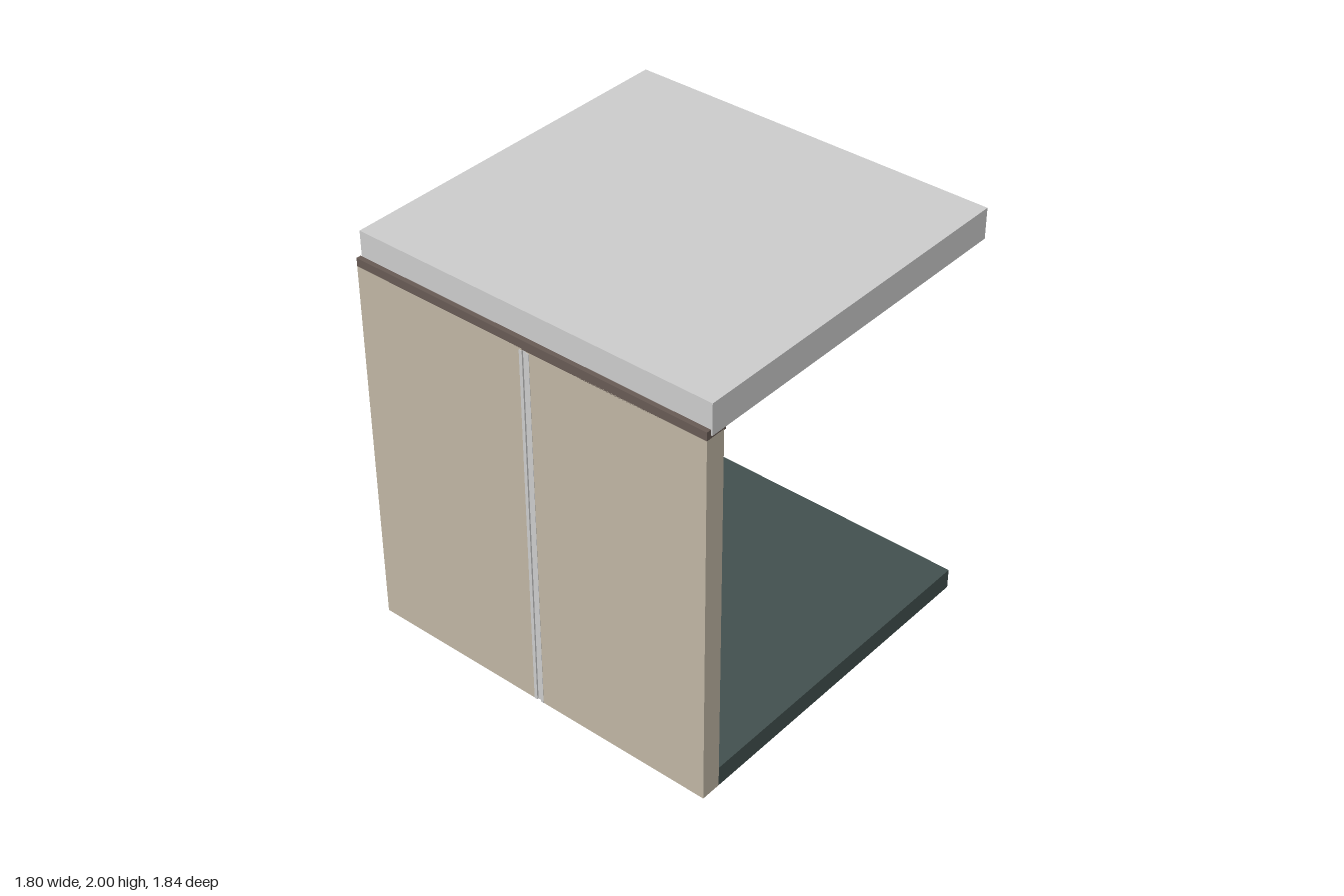
import * as THREE from 'three';

const mat = (color) => new THREE.MeshStandardMaterial({ color });
const grey = mat(0xcccccc);
const beige = mat(0xbfb5a3);
const brown = mat(0x675a54);
const slate = mat(0x42504e);
const black = mat(0x080808);

function add(group, name, geometry, material) {
  const mesh = new THREE.Mesh(geometry, material);
  mesh.name = name;
  group.add(mesh);
  return mesh;
}

// Box given by its limits on each axis
function box(x0, x1, y0, y1, z0, z1) {
  return new THREE.BoxGeometry(x1 - x0, y1 - y0, z1 - z0)
    .translate((x0 + x1) / 2, (y0 + y1) / 2, (z0 + z1) / 2);
}

const shapeOf = (points) => new THREE.Shape(points.map(([x, y]) => new THREE.Vector2(x, y)));
const extrude = (shape, depth) => new THREE.ExtrudeGeometry(shape, { depth, bevelEnabled: false });

const BACK = -0.92, FRONT = 0.915;

export function createModel() {
  const model = new THREE.Group();
  model.name = 'openPavilion';

  add(model, 'floorSlab', box(-0.8, 0.85, 0, 0.1, BACK, FRONT), slate);

  // Two wall panels either side of the joining post
  add(model, 'wallPanelFront', box(-0.9, -0.8, 0, 1.84, 0.012, FRONT), beige);
  add(model, 'wallPanelBack', box(-0.9, -0.8, 0, 1.84, BACK, -0.012), beige);

  // Joining post: H section with a shallow slot in each outer face
  const half = [[0.026, 0.0515], [0.026, 0.046], [0.012, 0.046]];
  const slot = [[0.01, 0.044], [0.01, 0.0515]];
  const flip = (pts, sx, sy) => pts.map(([x, y]) => [x * sx, y * sy]);
  const quarter = [...slot, ...half];
  const section = [
    ...quarter,
    ...flip(quarter, 1, -1).reverse(),
    ...flip(quarter, -1, -1),
    ...flip(quarter, -1, 1).reverse(),
  ];
  const post = extrude(shapeOf(section), 1.83);
  post.rotateX(-Math.PI / 2).rotateY(Math.PI / 2).translate(-0.85, 0, 0);
  add(model, 'wallPost', post, grey);

  // Angle trim between wall and roof, with an upstand outside the roof edge
  const trim = extrude(shapeOf([
    [-0.9, 1.835], [-0.79, 1.835], [-0.79, 1.852], [-0.877, 1.852], [-0.877, 1.88], [-0.9, 1.88],
  ]), FRONT - BACK).translate(0, 0, BACK);
  add(model, 'wallTopTrim', trim, brown);

  // Roof slab with V grooves along its underside
  const outline = [[-0.92, 2], [-0.92, 1.852]];
  for (let k = 1; k <= 12; k++) {
    const s = -0.92 + k * 0.1525;
    outline.push([s - 0.005, 1.852], [s, 1.867], [Math.min(s + 0.005, 0.9149), 1.852]);
  }
  outline.push([0.915, 1.852], [0.915, 2]);
  const roof = extrude(shapeOf(outline), 1.77).rotateY(Math.PI / 2).translate(-0.875, 0, 0);
  add(model, 'roofSlab', roof, grey);

  // Ceiling hatch: raised frame round a dark recessed panel
  const rect = (w, d) => [[-w, -d], [w, -d], [w, d], [-w, d]];
  const frame = shapeOf(rect(0.1925, 0.215));
  frame.holes.push(shapeOf(rect(0.1725, 0.195)));
  const hatch = new THREE.Group();
  hatch.name = 'ceilingHatch';
  add(hatch, 'hatchFrame', extrude(frame, 0.03).rotateX(-Math.PI / 2), grey);
  add(hatch, 'hatchPanel', box(-0.1725, 0.1725, 0.02, 0.03, -0.195, 0.195), black);
  hatch.position.set(0.0975, 1.825, 0.01);
  model.add(hatch);

  return model;
}
